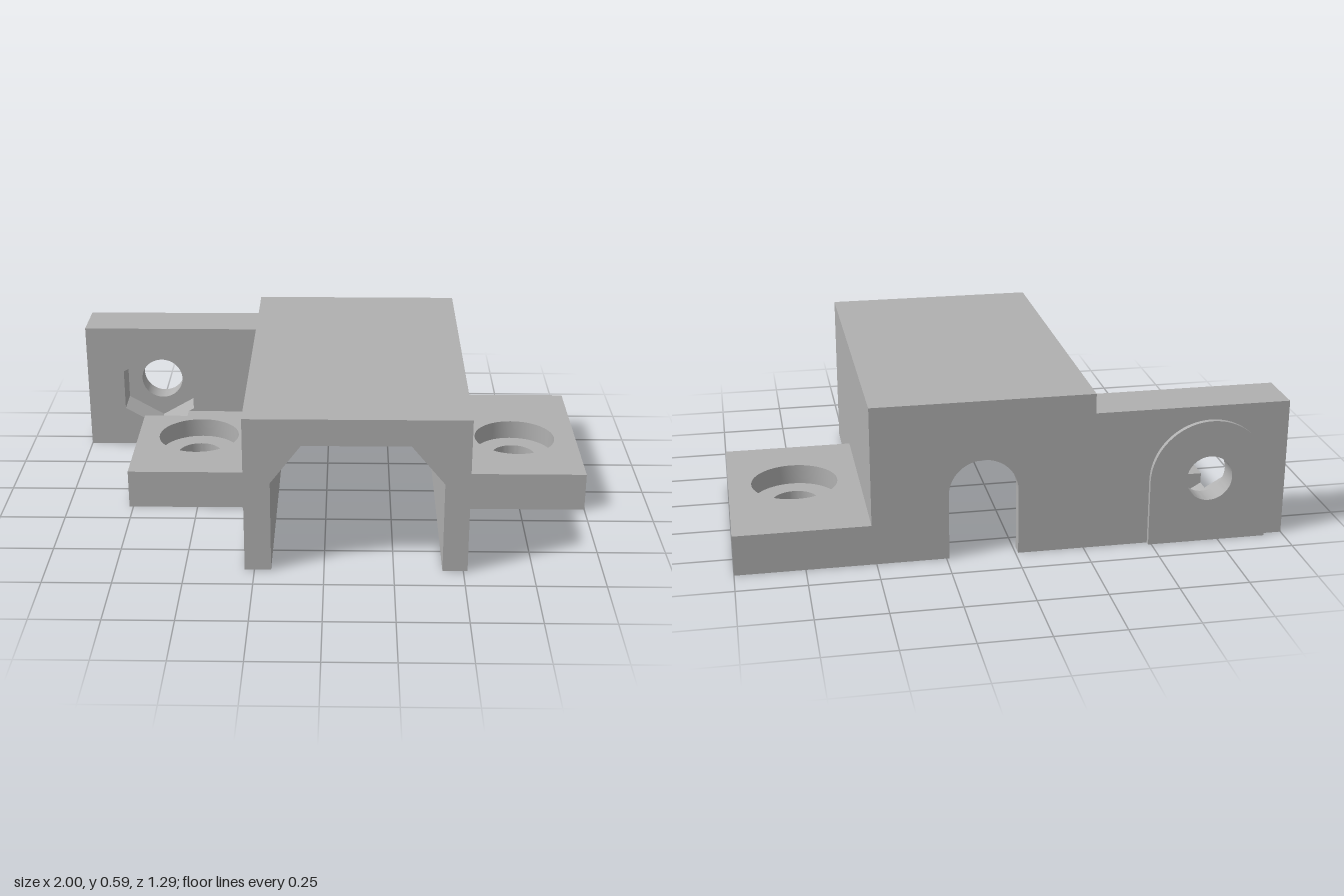
import * as THREE from 'three';
import { toCreasedNormals } from 'three/addons/utils/BufferGeometryUtils.js';

const grey = new THREE.MeshStandardMaterial({ color: 0xb0b0b0 });
grey.name = 'grey plastic';

const polygon = (points) => new THREE.Shape(points.map(([x, y]) => new THREE.Vector2(x, y)));
const rect = (x0, y0, x1, y1) => polygon([[x0, y0], [x1, y0], [x1, y1], [x0, y1]]);
const circle = (x, y, r) => new THREE.Path().absarc(x, y, r, 0, Math.PI * 2, true);

function extrude(shape, depth) {
  const geometry = new THREE.ExtrudeGeometry(shape, { depth, bevelEnabled: false, curveSegments: 32 });
  return toCreasedNormals(geometry, 0.5);
}

export function createModel() {
  const model = new THREE.Group();
  model.name = 'mountingBracket';

  const add = (name, geometry) => {
    const mesh = new THREE.Mesh(geometry, grey);
    mesh.name = name;
    model.add(mesh);
  };
  // Upright slab: outline in x and y, running from z0 to z1
  const upright = (name, shape, z0, z1) => add(name, extrude(shape, z1 - z0).translate(0, 0, z0));
  // Flat slab: outline in x and -z, running from y0 to y1
  const flat = (name, shape, y0, y1) =>
    add(name, extrude(shape, y1 - y0).rotateX(-Math.PI / 2).translate(0, y0, 0));

  const back = -0.63, wallFront = -0.585, front = 0.645;

  // Channel body, open at the bottom and front, with chamfered inner corners
  upright('channelBody', polygon([
    [-0.285, 0], [-0.19, 0], [-0.19, 0.345], [-0.08, 0.49], [0.305, 0.49], [0.425, 0.345],
    [0.425, 0], [0.515, 0], [0.515, 0.59], [-0.285, 0.59],
  ]), wallFront, front);

  // Back wall with a round-topped cable slot
  const wall = new THREE.Shape();
  wall.moveTo(-0.285, 0);
  wall.lineTo(-0.01, 0);
  wall.lineTo(-0.01, 0.245);
  wall.absarc(0.115, 0.245, 0.125, Math.PI, 0, true);
  wall.lineTo(0.24, 0);
  wall.lineTo(0.515, 0);
  wall.lineTo(0.515, 0.59);
  wall.lineTo(-0.285, 0.59);
  upright('backWall', wall, back, wallFront);

  // Mounting wings with counterbored screw holes
  for (const [name, x0, x1, z0, cx] of [
    ['rightWing', -0.765, -0.285, -0.385, -0.52],
    ['leftWing', 0.515, 1, back, 0.755],
  ]) {
    for (const [part, r, y0, y1] of [['Base', 0.085, 0, 0.075], ['Counterbore', 0.16, 0.075, 0.15]]) {
      const shape = rect(x0, -0.155, x1, -z0);
      shape.holes.push(circle(cx, 0.19, r));
      flat(name + part, shape, y0, y1);
    }
  }

  // Back strip of the right wing, notched where the nut slides in
  upright('rightWingNotch', polygon([
    [-0.765, 0], [-0.285, 0], [-0.285, 0.15], [-0.587, 0.15], [-0.71, 0.08], [-0.765, 0.112],
  ]), -0.435, -0.385);

  // Upright lug: round bolt hole behind, hexagonal nut pocket in front
  const hx = -0.708, hy = 0.245, pocketFloor = -0.565;
  const lugBack = rect(-1, 0, -0.285, 0.517);
  lugBack.holes.push(circle(hx, hy, 0.085));
  upright('lugBack', lugBack, back, pocketFloor);

  const hexagon = [];
  for (let i = 0; i < 6; i++) {
    const a = Math.PI / 2 - i * Math.PI / 3;
    hexagon.push(new THREE.Vector2(hx + 0.165 * Math.cos(a), hy + 0.165 * Math.sin(a)));
  }
  const lugFront = rect(-1, 0, -0.285, 0.517);
  lugFront.holes.push(new THREE.Path(hexagon));
  upright('lugNutPocket', lugFront, pocketFloor, -0.435);

  // Raised arched pad around the bolt hole on the back
  const pad = new THREE.Shape();
  pad.moveTo(hx - 0.22, 0);
  pad.lineTo(hx + 0.22, 0);
  pad.lineTo(hx + 0.22, hy);
  pad.absarc(hx, hy, 0.22, 0, Math.PI, false);
  pad.lineTo(hx - 0.22, 0);
  pad.holes.push(circle(hx, hy, 0.085));
  upright('boltPad', pad, -0.648, back);

  return model;
}
